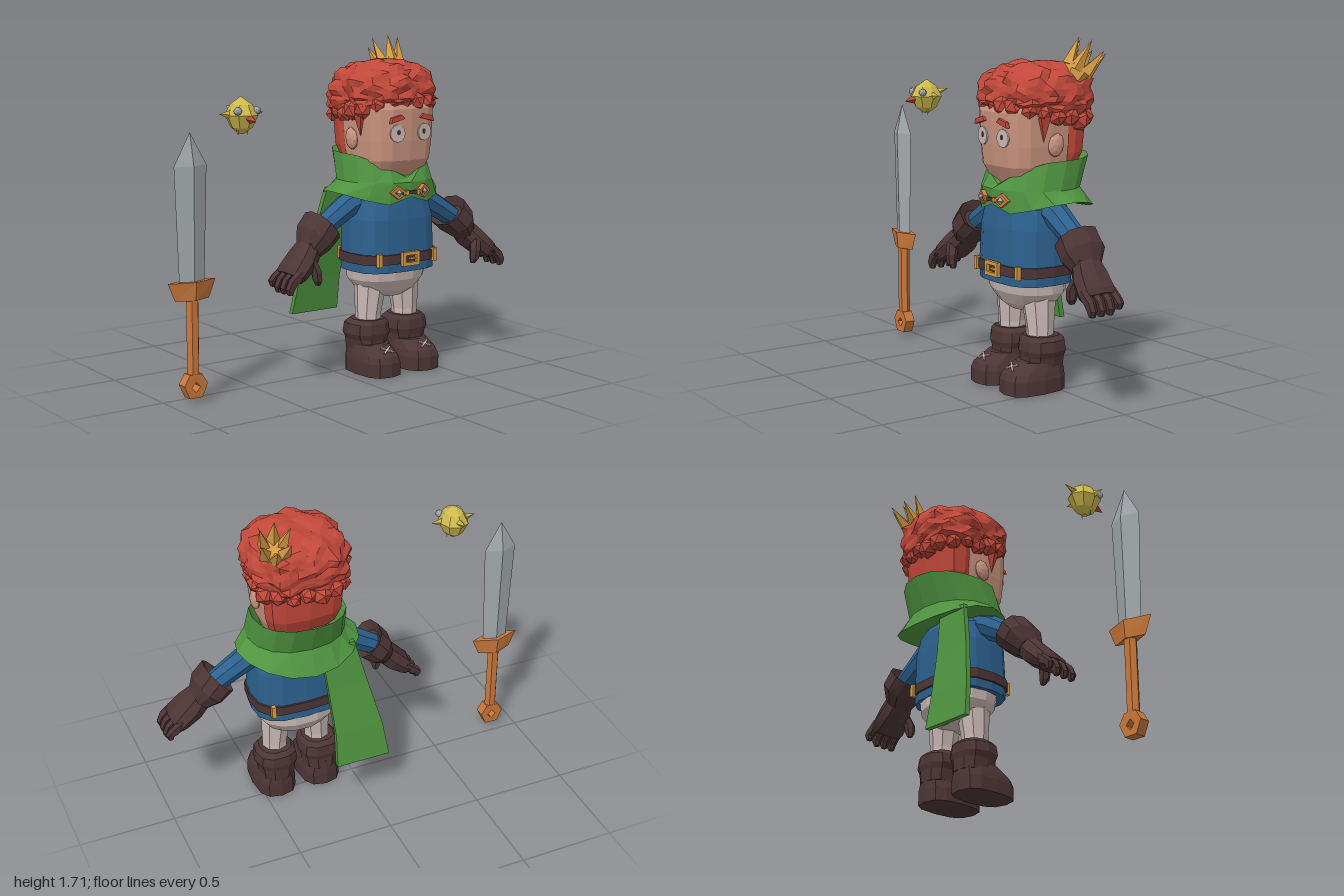
import * as THREE from 'three';

const colours = {
  hair: 0xc2483a, skin: 0xcb947f, green: 0x4f9440, blue: 0x2d618f, leather: 0x4d3535,
  gold: 0xd69d45, feather: 0xcfba4e, copper: 0xcb783a, steel: 0xa2a9ac, cloth: 0xcbbab5,
};

// Loft of superellipse rings, listed upward: [x, y, z, rx, rz, power, tilt about z, lift(c, s)]
function loft(rings, n = 12, off = 0) {
  const pos = [];
  const pts = rings.map(([x, y, z, rx, rz, p = 2, tilt = 0, lift]) => Array.from({ length: n }, (_, i) => {
    const t = off + (i / n) * Math.PI * 2, c = Math.cos(t), s = Math.sin(t);
    const u = rx * Math.sign(c) * Math.abs(c) ** (2 / p), w = rz * Math.sign(s) * Math.abs(s) ** (2 / p);
    return [x + u * Math.cos(tilt), y + u * Math.sin(tilt) + (lift ? lift(c, s) : 0), z + w];
  }));
  const mid = (r) => [0, 1, 2].map((k) => r.reduce((a, p) => a + p[k], 0) / n);
  const first = pts[0], last = pts[pts.length - 1], lo = mid(first), hi = mid(last);
  for (let i = 0; i < n; i++) {
    const k = (i + 1) % n;
    for (let j = 0; j < pts.length - 1; j++) {
      const a = pts[j][i], b = pts[j][k], c = pts[j + 1][i], d = pts[j + 1][k];
      pos.push(...a, ...c, ...b, ...b, ...c, ...d);
    }
    pos.push(...lo, ...first[i], ...first[k], ...hi, ...last[k], ...last[i]);
  }
  const g = new THREE.BufferGeometry();
  g.setAttribute('position', new THREE.Float32BufferAttribute(pos, 3));
  return g;
}
const SQ = Math.PI / 4; // ring offset for square sections

// Non-indexed copy with one normal per face
function flat(geo) {
  const g = geo.index ? geo.toNonIndexed() : geo;
  g.computeVertexNormals();
  return g;
}

// Reflected copy across x with the corner order restored
function mirrored(geo) {
  const g = flat(geo).clone().scale(-1, 1, 1), p = g.attributes.position;
  for (let i = 0; i < p.count; i += 3) {
    const b = [p.getX(i + 1), p.getY(i + 1), p.getZ(i + 1)];
    p.setXYZ(i + 1, p.getX(i + 2), p.getY(i + 2), p.getZ(i + 2));
    p.setXYZ(i + 2, ...b);
  }
  g.computeVertexNormals();
  return g;
}

const box = (w, h, d) => new THREE.BoxGeometry(w, h, d);
const polygon = (pts) => pts.map(([x, y]) => new THREE.Vector2(x, y));
function frame(outer, hole, depth) {
  const s = new THREE.Shape(polygon(outer));
  s.holes.push(new THREE.Path(polygon(hole)));
  return new THREE.ExtrudeGeometry(s, { depth, bevelEnabled: false }).translate(0, 0, -depth / 2);
}
const rect = (w, h) => [[-w, -h], [w, -h], [w, h], [-w, h]];

// Lumpy curls: bumps around evenly spread points on a rounded box
function curlyHair() {
  const g = new THREE.IcosahedronGeometry(1, 6), p = g.attributes.position, v = new THREE.Vector3();
  const seeds = Array.from({ length: 64 }, (_, i) => {
    const y = 1 - (2 * i + 1) / 64, r = Math.sqrt(1 - y * y), a = i * 2.4 + 0.25 * Math.sin(i * 7.3);
    return new THREE.Vector3(r * Math.cos(a), y, r * Math.sin(a));
  });
  for (let i = 0; i < p.count; i++) {
    v.fromBufferAttribute(p, i).normalize();
    const m = Math.min(...seeds.map((s) => s.distanceTo(v)));
    const jag = 0.018 * Math.sin(v.x * 31 + v.y * 47 + v.z * 39);
    const k = (1.05 - 0.5 * m + jag) / (Math.abs(v.x) ** 2.7 + Math.abs(v.y) ** 2.7 + Math.abs(v.z) ** 2.7) ** (1 / 2.7);
    const low = 0.125 - 0.07 * Math.max(0, v.z) + 0.03 * Math.max(0, -v.z);
    p.setXYZ(i, v.x * k * 0.258, 1.415 + v.y * k * (v.y > 0 ? 0.185 : low), 0.008 + v.z * k * 0.262);
  }
  return g;
}

export function createModel() {
  const mats = {};
  for (const [name, color] of Object.entries(colours)) {
    mats[name] = new THREE.MeshStandardMaterial({ color });
    mats[name].name = name;
  }
  mats.green.side = THREE.DoubleSide;
  const root = new THREE.Group();
  const group = (name, x, y, z, parent = root) => {
    const g = new THREE.Group();
    g.name = name;
    g.position.set(x, y, z);
    parent.add(g);
    return g;
  };
  const add = (parent, name, geo, mat) => {
    const m = new THREE.Mesh(flat(geo), mats[mat]);
    m.name = name;
    parent.add(m);
    return m;
  };
  const hero = group('hero', 0.295, 0, 0);
  const part = (name, geo, mat) => add(hero, name, geo, mat);
  const pair = (name, geo, mat) => {
    part('left ' + name, geo, mat);
    part('right ' + name, mirrored(geo), mat);
  };

  // Tunic, hips and belt
  part('tunic', loft([[0, 0.53, 0.065, 0.235, 0.18, 3], [0, 0.62, 0.065, 0.238, 0.18, 3], [0, 0.8, 0.062, 0.232, 0.175, 3],
    [0, 0.9, 0.06, 0.215, 0.165, 2.6], [0, 0.98, 0.05, 0.12, 0.11]], 16), 'blue');
  part('hips', loft([[0, 0.385, 0.05, 0.09, 0.08], [0, 0.42, 0.05, 0.165, 0.125], [0, 0.48, 0.05, 0.208, 0.16, 2.3],
    [0, 0.55, 0.055, 0.215, 0.165, 2.5]], 14), 'cloth');
  part('belt', loft([[0, 0.575, 0.065, 0.246, 0.19, 3], [0, 0.625, 0.065, 0.246, 0.19, 3]], 16), 'leather');
  part('buckle', frame(rect(0.054, 0.036), rect(0.034, 0.018), 0.02).translate(0, 0.6, 0.26), 'gold');
  part('buckle pin', box(0.035, 0.01, 0.012).translate(0.012, 0.6, 0.262), 'gold');
  for (const z of [0.232, -0.102]) pair('belt loop', box(0.022, 0.066, 0.024).translate(0.175, 0.6, z), 'gold');

  // Legs and boots
  pair('leg', loft([[0.118, 0.24, 0.06, 0.066, 0.068], [0.118, 0.3, 0.06, 0.066, 0.07], [0.112, 0.38, 0.06, 0.074, 0.08],
    [0.105, 0.46, 0.06, 0.082, 0.09]], 8), 'cloth');
  pair('boot foot', loft([[0.125, 0, 0.11, 0.108, 0.165, 2.8], [0.125, 0.07, 0.11, 0.108, 0.165, 2.8],
    [0.125, 0.1, 0.105, 0.102, 0.158, 2.6], [0.122, 0.15, 0.068, 0.088, 0.12, 2.4]], 12), 'leather');
  pair('boot shaft', loft([[0.122, 0.11, 0.05, 0.092, 0.105, 2.6], [0.122, 0.17, 0.05, 0.1, 0.105, 2.6],
    [0.122, 0.2, 0.05, 0.114, 0.112, 2.6], [0.122, 0.25, 0.05, 0.106, 0.106, 2.6], [0.12, 0.272, 0.055, 0.085, 0.088, 2.4]], 10), 'leather');
  for (const a of [0.6, -0.6]) {
    pair('boot lace', box(0.07, 0.008, 0.009).rotateY(a).rotateX(0.6).translate(0.122, 0.133, 0.228), 'cloth');
  }

  // Arms and gloves: rings follow the arm outward and down
  const T = -2.3;
  pair('sleeve', loft([[0.15, 0.9, 0.05, 0.075, 0.075, 2, T], [0.24, 0.87, 0.05, 0.066, 0.068, 2, T],
    [0.43, 0.755, 0.055, 0.055, 0.058, 2, T]], 8), 'blue');
  pair('glove cuff', loft([[0.43, 0.76, 0.062, 0.06, 0.07, 2.3, T], [0.405, 0.785, 0.062, 0.098, 0.112, 2.3, T],
    [0.465, 0.725, 0.066, 0.088, 0.118, 2.3, T], [0.51, 0.665, 0.075, 0.058, 0.075, 2.3, T]], 10), 'leather');
  pair('glove palm', loft([[0.495, 0.685, 0.078, 0.058, 0.072, 2.6, T], [0.55, 0.625, 0.09, 0.062, 0.095, 2.6, T],
    [0.615, 0.57, 0.1, 0.05, 0.104, 2.6, T], [0.635, 0.55, 0.1, 0.04, 0.098, 2.6, T]], 8), 'leather');
  for (let i = 0; i < 4; i++) {
    const z = 0.024 + i * 0.051, d = i === 0 ? 0.02 : 0;
    pair('finger', loft([[0.61, 0.58, z, 0.028, 0.023, 3, T], [0.663, 0.54, z, 0.028, 0.023, 3, -2.6],
      [0.682, 0.505 + d, z, 0.024, 0.021, 3, -3], [0.68, 0.478 + d, z, 0.014, 0.013, 3, -3.1]], 6), 'leather');
  }
  pair('thumb', loft([[0.535, 0.64, 0.14, 0.035, 0.035, 2, -2.7], [0.515, 0.575, 0.165, 0.03, 0.03, 2, -3.1],
    [0.51, 0.53, 0.165, 0.026, 0.026, 2, -3.1], [0.505, 0.505, 0.16, 0.014, 0.014, 2, -3.1]], 6), 'leather');

  // Collar and hanging cape
  const hem = (c, s) => 0.07 * c * c + (s > 0.99 ? 0.045 : 0);
  const rim = (c, s) => (s > 0 ? -0.09 * s ** 3 : 0.02 * s * s) - (s > 0.99 ? 0.03 : 0);
  part('collar', loft([[0, 0.93, 0.04, 0.18, 0.15], [0, 0.87, 0.003, 0.318, 0.257, 2, 0, hem],
    [0, 0.99, 0.035, 0.25, 0.226, 2.2], [0, 1.13, -0.012, 0.235, 0.238, 2.2, 0, rim],
    [0, 1.02, 0.03, 0.17, 0.17, 2.2]], 16), 'green');
  part('cape', loft([[-0.25, 0.27, -0.245, 0.145, 0.014, 99], [-0.24, 0.45, -0.215, 0.13, 0.014, 99],
    [-0.2, 0.7, -0.165, 0.108, 0.014, 99], [-0.16, 0.94, -0.13, 0.09, 0.014, 99]], 4, SQ), 'green');

  // Clasp on the collar
  pair('clasp diamond', frame([[-0.046, 0], [0, -0.034], [0.046, 0], [0, 0.034]],
    [[-0.02, 0], [0, -0.015], [0.02, 0], [0, 0.015]], 0.022).rotateY(0.25).translate(0.08, 0.942, 0.258), 'copper');
  pair('clasp gem', new THREE.OctahedronGeometry(0.02).translate(0.08, 0.942, 0.268), 'steel');
  part('clasp cord', box(0.13, 0.016, 0.014).translate(0, 0.94, 0.268), 'leather');
  pair('clasp bead', box(0.014, 0.026, 0.02).translate(0.035, 0.94, 0.268), 'gold');

  // Head and face
  part('head', loft([[0, 0.97, 0.05, 0.12, 0.12, 3], [0, 1.02, 0.055, 0.16, 0.15, 3.2], [0, 1.1, 0.06, 0.19, 0.188, 3.2],
    [0, 1.2, 0.06, 0.2, 0.198, 3.2], [0, 1.36, 0.06, 0.205, 0.205, 3.2], [0, 1.42, 0.05, 0.19, 0.19, 3.2]], 16), 'skin');
  pair('ear', new THREE.IcosahedronGeometry(1, 1).scale(0.024, 0.058, 0.045).rotateX(-0.2).translate(0.202, 1.205, 0.03), 'skin');
  const disc = (r, d) => new THREE.CylinderGeometry(r, r, d, 12).rotateX(Math.PI / 2).rotateY(0.087);
  pair('eye', disc(0.044, 0.008).translate(0.085, 1.24, 0.256), 'cloth');
  pair('pupil', disc(0.009, 0.004).scale(1, 1.4, 1).translate(0.08, 1.245, 0.2615), 'leather');
  pair('eyebrow', loft([[0, -0.012, 0, 0.045, 0.01, 99], [0, 0.012, 0, 0.03, 0.01, 99]], 4, SQ)
    .rotateZ(-0.25).translate(0.095, 1.315, 0.262), 'hair');

  // Curly hair, hairline curls, temple locks and nape
  part('hair', curlyHair(), 'hair');
  part('nape hair', loft([[0, 1.08, -0.06, 0.17, 0.09, 2.8], [0, 1.16, -0.085, 0.195, 0.1, 2.8],
    [0, 1.34, -0.09, 0.208, 0.11, 2.8]], 12), 'hair');
  for (let i = 0; i < 20; i++) {
    const t = (i / 20) * Math.PI * 2 + 0.1, c = Math.cos(t), s = Math.sin(t), r = 0.048 + 0.009 * Math.sin(i * 5);
    const y = (s > 0 ? 1.335 + 0.06 * s : 1.335 + 0.02 * s) + 0.012 * Math.sin(i * 3.1);
    const k = 1 / (Math.abs(c) ** 3 + Math.abs(s) ** 3) ** (1 / 3);
    part('hairline curl', new THREE.IcosahedronGeometry(r, 0).rotateX(i * 1.3).rotateY(i * 2.1)
      .translate(0.212 * c * k, y, 0.008 + 0.218 * s * k), 'hair');
  }
  pair('temple lock', new THREE.ConeGeometry(0.04, 0.12, 5).rotateX(Math.PI).translate(0.2, 1.28, 0.1), 'hair');

  // Small tilted crown
  const crown = group('crown', 0.152, 1.535, -0.118, hero);
  crown.rotation.set(-0.58, 0, -0.12);
  add(crown, 'crown band', loft([[0, -0.03, 0, 0.055, 0.055], [0, 0.035, 0, 0.07, 0.07]], 6), 'gold');
  for (let i = 0; i < 6; i++) {
    add(crown, 'crown spike', new THREE.ConeGeometry(0.036, 0.14 + 0.02 * (i % 2), 4)
      .rotateZ(-0.22).translate(0.066, 0.09, 0).rotateY((i * Math.PI) / 3 + 0.3), 'gold');
  }

  // Sword standing beside
  const sword = group('sword', -0.87, 0, 0.065);
  add(sword, 'blade', loft([[0, 0.57, 0, 0.068, 0.026], [0, 1.14, 0, 0.088, 0.034], [0, 1.295, 0, 0.001, 0.001]], 4), 'steel');
  add(sword, 'guard', loft([[0, 0.5, 0, 0.092, 0.036], [0, 0.59, 0, 0.13, 0.045]], 4), 'copper');
  add(sword, 'grip', loft([[0, 0.12, 0, 0.033, 0.03], [0, 0.51, 0, 0.033, 0.03]], 6), 'copper');
  add(sword, 'pommel', frame([[-0.035, 0.025], [0.035, 0.025], [0.064, 0.09], [0.033, 0.14], [-0.033, 0.14], [-0.064, 0.09]],
    [[-0.024, 0.078], [0, 0.052], [0.024, 0.078], [0, 0.104]], 0.055), 'copper');

  // Little round bird in the air
  const bird = group('bird', -0.595, 1.36, 0.08);
  const birdPart = (name, geo, mat, both) => {
    add(bird, name, geo, mat);
    if (both) add(bird, name, mirrored(geo), mat);
  };
  const spike = (r, h) => new THREE.ConeGeometry(r, h, 4);
  birdPart('bird body', loft([[0, -0.085, 0, 0.012, 0.015], [0, -0.055, 0, 0.05, 0.06], [0, 0.005, 0, 0.077, 0.09],
    [0, 0.055, 0, 0.05, 0.062], [0, 0.09, -0.005, 0.004, 0.004]], 8), 'feather');
  birdPart('bird wing', spike(0.026, 0.07).scale(1, 1, 0.5).rotateZ(-1.5).translate(0.088, 0.01, 0), 'feather', true);
  birdPart('bird tail', spike(0.022, 0.085).rotateX(-1.35).translate(0, 0.03, -0.098), 'feather');
  birdPart('bird beak', spike(0.023, 0.055).rotateX(1.75).translate(0, -0.015, 0.105), 'hair');
  birdPart('bird eye', new THREE.IcosahedronGeometry(0.02, 1).translate(0.052, 0.027, 0.053), 'steel', true);
  birdPart('bird foot', spike(0.01, 0.04).rotateX(Math.PI).translate(0.026, -0.075, 0.01), 'feather', true);
  return root;
}
